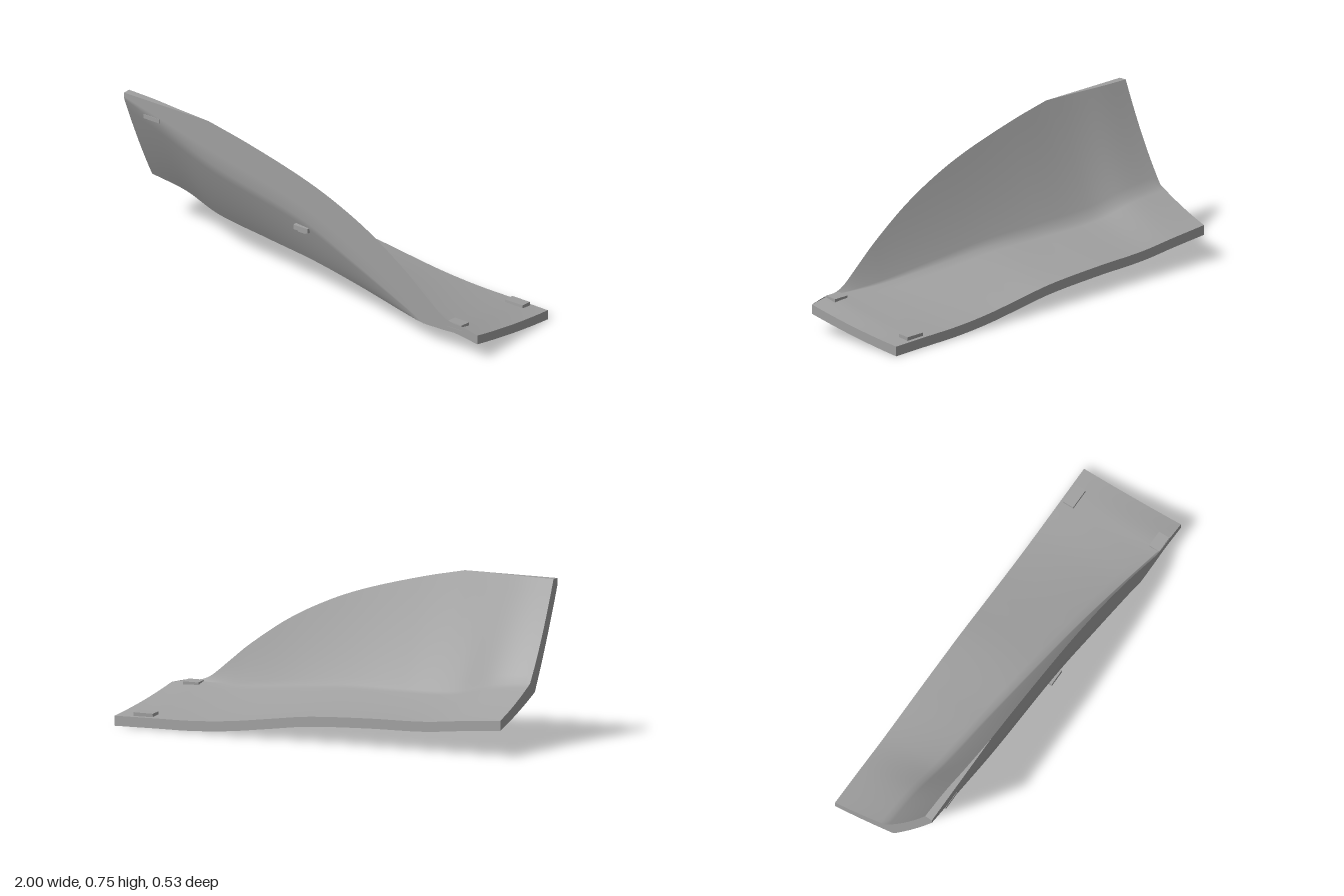
import * as THREE from 'three';

const BACK = -0.265, FRONT = 0.265, STEPS = 75;

// Smooth interpolation through [x, value] pairs
function curve(pts) {
  const slope = (i) => {
    const a = pts[Math.max(i - 1, 0)], b = pts[Math.min(i + 1, pts.length - 1)];
    return (b[1] - a[1]) / (b[0] - a[0]);
  };
  return (x) => {
    let i = 0;
    while (i < pts.length - 2 && x > pts[i + 1][0]) i++;
    const [x0, y0] = pts[i], [x1, y1] = pts[i + 1], h = x1 - x0;
    const t = THREE.MathUtils.clamp((x - x0) / h, 0, 1), t2 = t * t, t3 = t2 * t;
    return y0 * (2 * t3 - 3 * t2 + 1) + y1 * (3 * t2 - 2 * t3)
      + h * (slope(i) * (t3 - 2 * t2 + t) + slope(i + 1) * (t3 - t2));
  };
}

// Guide curves along the length
const backLow = curve([[-1, 0.126], [-0.8, 0.11], [-0.6, 0.092], [-0.3, 0.085], [0, 0.07], [0.2, 0.045],
  [0.4, 0.02], [0.6, 0.006], [0.8, 0.003], [1, 0]]);
const creaseZ = curve([[-1, 0.01], [-0.8, 0.02], [-0.6, 0.045], [-0.3, 0.08], [0, 0.12], [0.3, 0.158],
  [0.6, 0.207], [0.8, 0.248], [0.88, FRONT], [1, FRONT]]);
const creaseY = curve([[-1, 0.305], [-0.8, 0.283], [-0.6, 0.236], [-0.3, 0.22], [0, 0.211], [0.3, 0.182],
  [0.6, 0.152], [0.8, 0.146], [0.88, 0.148], [1, 0.13]]);
const rimY = curve([[-0.52, 0.755], [-0.3, 0.71], [0, 0.632], [0.2, 0.56], [0.4, 0.462], [0.6, 0.33],
  [0.7, 0.25], [0.8, 0.172], [0.86, 0.151], [0.92, 0.148], [1, 0.13]]);
const rimZ = curve([[-1, 0.228], [-0.85, 0.235], [-0.7, 0.25], [-0.52, FRONT]]);
const frontY = curve([[-1, 0.725], [-0.8, 0.65], [-0.5, 0.54], [0, 0.42], [0.3, 0.29], [0.6, 0.15],
  [0.7, 0.104], [0.85, 0.1], [1, 0.083]]);

// Points [z, y] from a to b, dipping by sag in the middle
function dip(a, b, sag, n) {
  return Array.from({ length: n + 1 }, (_, i) => {
    const t = i / n;
    return [a[0] + (b[0] - a[0]) * t, a[1] + (b[1] - a[1]) * t - 4 * sag * t * (1 - t)];
  });
}

// Cross-section at x, as the named runs of one closed loop
function section(x) {
  const flatTop = x < -0.52;
  const rim = flatTop ? [rimZ(x), 0.755] : [FRONT, rimY(x)];
  const low = [BACK, backLow(x)], high = [BACK, low[1] + 0.046];
  const crease = [Math.min(creaseZ(x), FRONT), Math.min(creaseY(x), rim[1])];
  const under = [Math.min(crease[0] + 0.045, FRONT), crease[1] - 0.044];
  const lip = [FRONT, Math.max(frontY(x), under[1])];
  const corner = [FRONT, rim[1]];
  const sag = 0.06 * (rim[1] - crease[1]);
  return {
    underside: dip(low, under, 0.007, 8),
    wallFront: [...dip(under, lip, sag * 0.6, 8), ...dip(lip, corner, 0, 3).slice(1)],
    wallTop: [corner, rim],
    upperSurface: [...dip(rim, crease, sag, 10), ...dip(crease, high, 0.008, 10).slice(1)],
    backEdge: [high, low],
  };
}

// Skin one run of the cross-section along x
function skin(sections, run) {
  const pos = [], idx = [], n = sections[0][run].length;
  sections.forEach((s, i) => {
    for (const [z, y] of s[run]) pos.push(-1 + (2 * i) / STEPS, y, z);
  });
  for (let i = 0; i < STEPS; i++) {
    for (let j = 0; j < n - 1; j++) {
      const a = i * n + j, b = a + n;
      idx.push(a, b, a + 1, b, b + 1, a + 1);
    }
  }
  const g = new THREE.BufferGeometry();
  g.setAttribute('position', new THREE.Float32BufferAttribute(pos, 3));
  g.setIndex(idx);
  g.computeVertexNormals();
  return g;
}

// Flat cap closing one end
function endCap(s, side) {
  const pts = [];
  for (const run of Object.values(s)) {
    for (const [z, y] of run) {
      const p = new THREE.Vector2(-side * z, y);
      if (!pts.some((q) => q.distanceTo(p) < 1e-4)) pts.push(p);
    }
  }
  return new THREE.ShapeGeometry(new THREE.Shape(pts)).rotateY((side * Math.PI) / 2).translate(side, 0, 0);
}

export function createModel() {
  const group = new THREE.Group();
  const grey = new THREE.MeshStandardMaterial({ color: 0xa0a0a0 });
  grey.name = 'plain grey';
  const add = (name, geometry, parent = group) => {
    const mesh = new THREE.Mesh(geometry, grey);
    mesh.name = name;
    parent.add(mesh);
    return mesh;
  };

  // Curved panel: floor rising into a leaning wall
  const panel = new THREE.Group();
  panel.name = 'curvedPanel';
  group.add(panel);
  const sections = Array.from({ length: STEPS + 1 }, (_, i) => section(-1 + (2 * i) / STEPS));
  for (const run of Object.keys(sections[0])) add(run, skin(sections, run), panel);
  add('rightEnd', endCap(sections[0], -1), panel);
  add('leftEnd', endCap(sections[STEPS], 1), panel);

  // Small tabs: on the floor at the low end, and on the wall front
  const tab = (name, x, y, z, w, h, d, tilt = 0) => {
    const m = add(name, new THREE.BoxGeometry(w, h, d));
    m.position.set(x, y, z);
    m.rotation.x = tilt;
  };
  tab('backFloorTab', 0.86, 0.056, -0.222, 0.1, 0.026, 0.055, -0.08);
  tab('frontFloorTab', 0.87, 0.137, 0.236, 0.08, 0.026, 0.056, -0.1);
  tab('upperWallTab', -0.845, 0.67, 0.239, 0.09, 0.02, 0.056);
  tab('middleWallTab', 0, 0.367, 0.234, 0.08, 0.023, 0.066);
  tab('middleWallTabFoot', -0.015, 0.345, 0.222, 0.045, 0.026, 0.03);
  return group;
}
